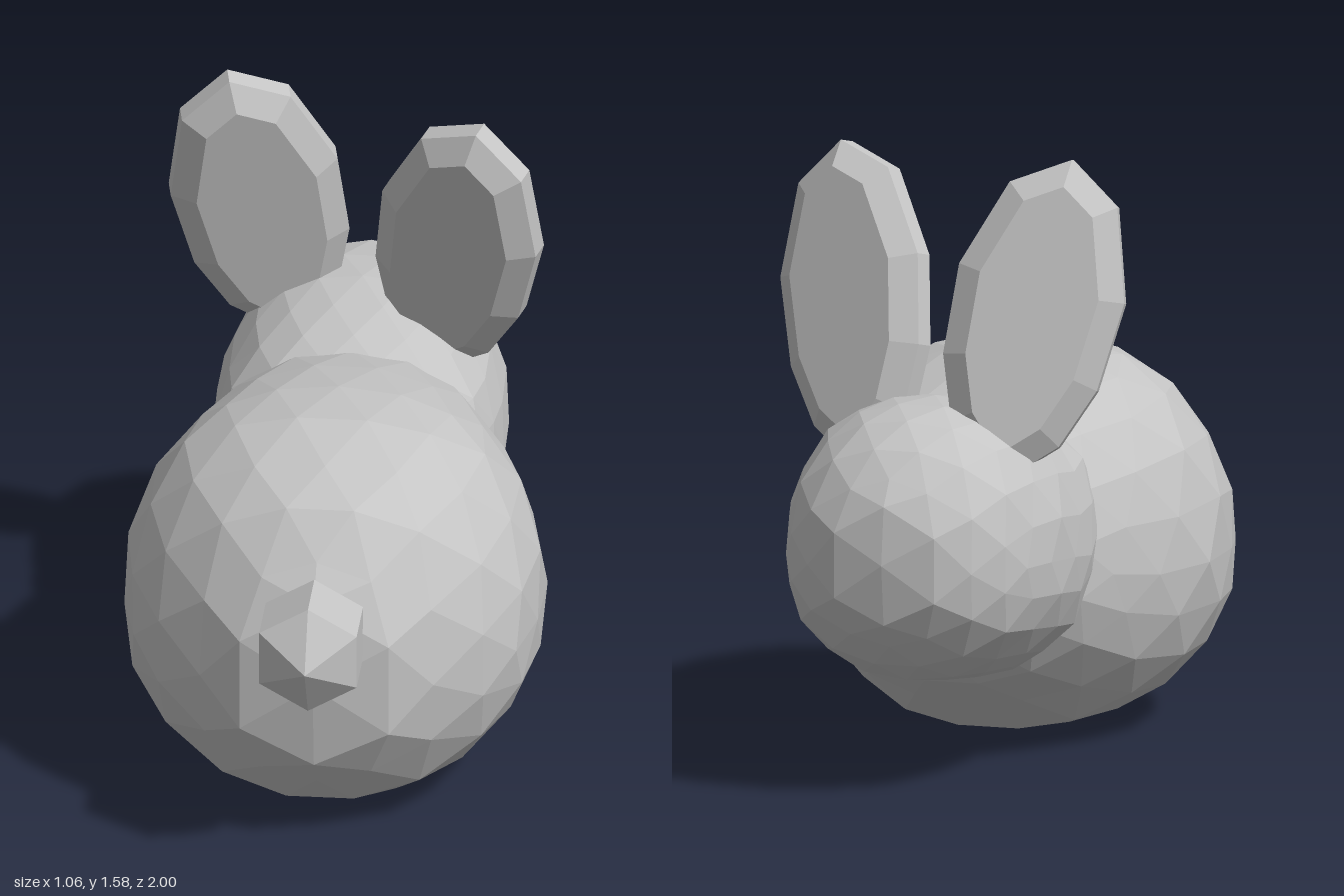
import * as THREE from 'three';

const fur = new THREE.MeshStandardMaterial({ color: 0xc4c4c4 });
fur.name = 'grey fur';

// Sections: [z, half width, bottom y, top y], from tail end to nose end
const BODY = [
  [0.785, 0, 0.48, 0.48], [0.765, 0.2, 0.26, 0.68], [0.59, 0.4, 0.07, 0.89],
  [0.43, 0.5, 0.01, 0.95], [0.22, 0.535, 0, 1.0], [0.1, 0.53, 0.01, 0.985],
  [-0.08, 0.475, 0.03, 0.955], [-0.22, 0.41, 0.11, 0.92], [-0.42, 0.32, 0.22, 0.85],
  [-0.54, 0.2, 0.35, 0.75], [-0.6, 0, 0.5, 0.5],
];
const HEAD = [
  [-0.08, 0, 0.63, 0.63], [-0.13, 0.22, 0.46, 0.84], [-0.24, 0.345, 0.38, 0.92],
  [-0.4, 0.37, 0.23, 0.955], [-0.6, 0.37, 0.26, 0.99], [-0.81, 0.31, 0.3, 0.955],
  [-0.9, 0.26, 0.37, 0.88], [-0.985, 0.14, 0.48, 0.77], [-1.0, 0, 0.63, 0.63],
];

function sectionAt(table, z) {
  let i = 1;
  while (i < table.length - 1 && z < table[i][0]) i++;
  const a = table[i - 1], b = table[i];
  const k = THREE.MathUtils.clamp((z - a[0]) / (b[0] - a[0]), 0, 1);
  return a.map((v, j) => v + (b[j] - v) * k);
}

// Faceted ball whose slices along z follow the section table
function sculptedBall(name, table) {
  const geo = new THREE.IcosahedronGeometry(1, 3);
  const pos = geo.attributes.position;
  const z0 = table[0][0], z1 = table[table.length - 1][0];
  const power = 2.2;
  for (let i = 0; i < pos.count; i++) {
    const z = z1 + (z0 - z1) * (pos.getZ(i) + 1) / 2;
    const [, half, low, high] = sectionAt(table, z);
    const r = Math.hypot(pos.getX(i), pos.getY(i)) || 1;
    const c = pos.getX(i) / r, s = pos.getY(i) / r;
    const f = Math.pow(Math.abs(c) ** power + Math.abs(s) ** power, -1 / power) || 0;
    const mid = low + (high - low) * 0.46;
    const reach = s > 0 ? high - mid : mid - low;
    const g = Number.isFinite(f) ? f : 0;
    pos.setXYZ(i, c * g * half, mid + s * g * reach, z);
  }
  geo.computeVertexNormals();
  const mesh = new THREE.Mesh(geo, fur);
  mesh.name = name;
  return mesh;
}

// Bevelled leaf-shaped slab, leaning outward and toward the tail
function ear(name, centre, along, across) {
  const half = [[0, 0.4], [0.14, 0.31], [0.215, 0.08], [0.2, -0.15], [0.14, -0.31], [0.05, -0.4]];
  const outline = [
    ...half.map(([u, v]) => new THREE.Vector2(u, v)),
    ...half.slice(1).reverse().map(([u, v]) => new THREE.Vector2(-u, v)),
  ];
  const geo = new THREE.ExtrudeGeometry(new THREE.Shape(outline), {
    depth: 0.05, bevelEnabled: true, bevelThickness: 0.045,
    bevelSize: 0.06, bevelOffset: -0.06, bevelSegments: 1,
  });
  geo.translate(0, 0, -0.025);
  const d = new THREE.Vector3(...along).normalize();
  const w = new THREE.Vector3(...across);
  w.addScaledVector(d, -w.dot(d)).normalize();
  const n = new THREE.Vector3().crossVectors(w, d);
  geo.applyMatrix4(new THREE.Matrix4().makeBasis(w, d, n));
  const mesh = new THREE.Mesh(geo, fur);
  mesh.position.set(...centre);
  mesh.name = name;
  return mesh;
}

// Six-sided stub with pointed ends
function tail() {
  const profile = [[0, -0.17], [0.142, -0.09], [0.142, 0.08], [0, 0.17]]
    .map(([r, y]) => new THREE.Vector2(r, y));
  const geo = new THREE.LatheGeometry(profile, 6).toNonIndexed();
  geo.rotateX(Math.PI / 2);
  geo.computeVertexNormals();
  const mesh = new THREE.Mesh(geo, fur);
  mesh.position.set(0, 0.62, 0.83);
  mesh.name = 'tail';
  return mesh;
}

export function createModel() {
  const model = new THREE.Group();
  model.name = 'rabbit';
  model.add(
    sculptedBall('body', BODY),
    sculptedBall('head', HEAD),
    ear('earPlusX', [0.26, 1.18, -0.365], [0.12, 0.69, 0.23], [1, -0.27, 0.3]),
    ear('earMinusX', [-0.26, 1.2, -0.53], [-0.13, 0.72, 0.19], [-1, -0.22, 0.15]),
    tail(),
  );
  return model;
}
